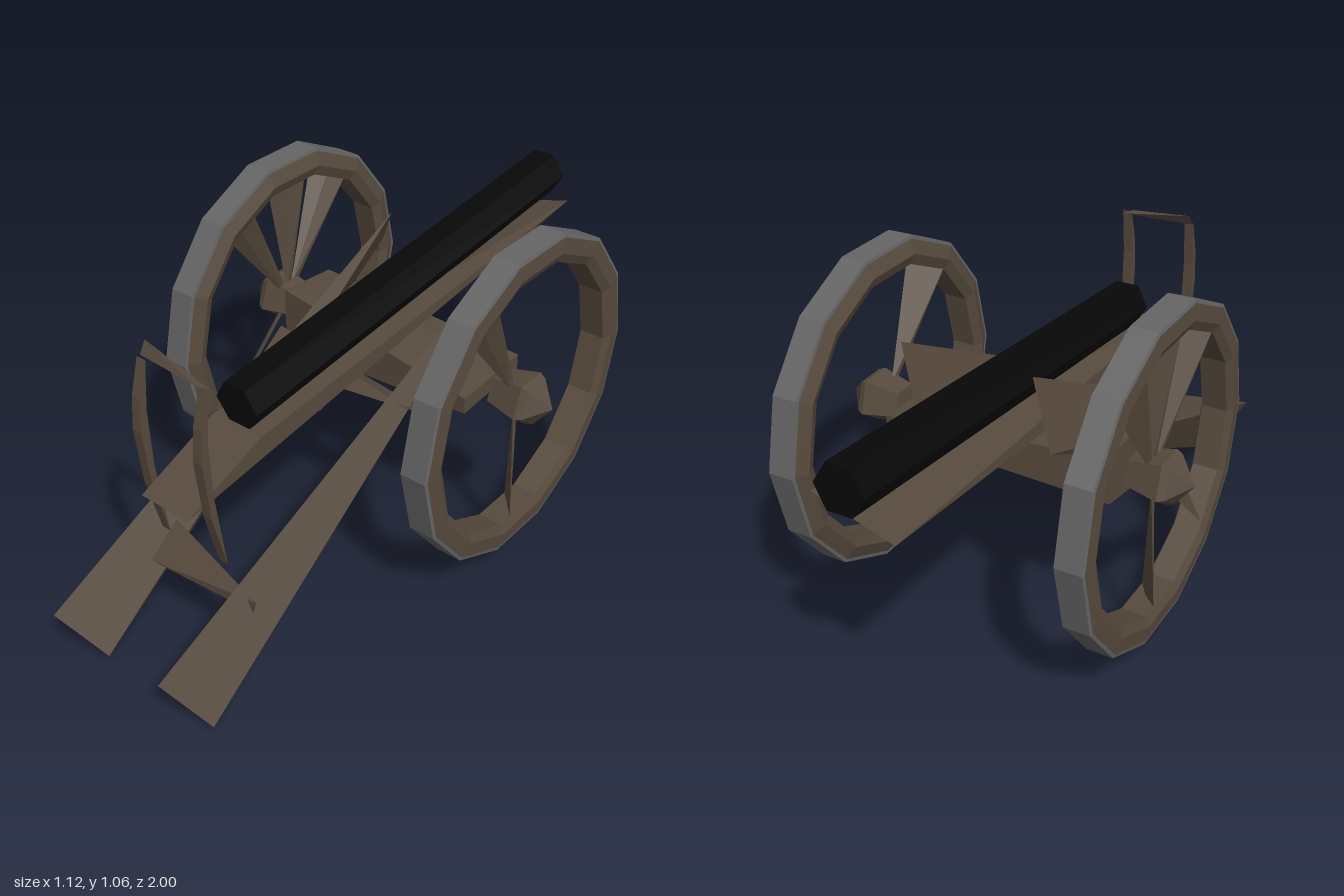
import * as THREE from 'three';
import { ConvexGeometry } from 'three/addons/geometries/ConvexGeometry.js';

const material = (name, color) => Object.assign(
  new THREE.MeshStandardMaterial({ color, flatShading: true, side: THREE.DoubleSide }), { name });

export function createModel() {
  const wood = material('wood', 0x574a3d);
  const iron = material('tyre iron', 0x656566);
  const black = material('barrel black', 0x080808);
  const model = new THREE.Group();
  model.name = 'fieldGun';

  const add = (name, geometry, mat, parent = model) => {
    const mesh = new THREE.Mesh(geometry, mat);
    mesh.name = name;
    parent.add(mesh);
    return mesh;
  };
  // Faceted solid through a few corners
  const hull = (name, corners, parent = model) =>
    add(name, new ConvexGeometry(corners.map((c) => new THREE.Vector3(...c))), wood, parent);

  // Barrel: hexagonal tube rising towards the muzzle
  const barrel = new THREE.CylinderGeometry(0.074, 0.074, 1.5, 6);
  barrel.rotateY(Math.PI / 6).rotateX(-Math.PI / 2 + 0.094).translate(-0.01, 0.779, -0.247);
  add('barrel', barrel, black);

  // Stock: long wedge under the barrel, ending in a slanted edge
  hull('stock', [
    [-0.1, 0.535, 0.78], [0.07, 0.535, 0.78], [-0.1, 0.645, 0.5], [0.075, 0.645, 0.5],
    [-0.135, 0.715, -0.96], [0.11, 0.787, -0.955],
  ]);

  // Trails: twisted four-cornered beams
  for (const [name, x] of [['rightTrail', -0.265], ['leftTrail', 0.145]]) {
    hull(name, [[x, 0.165, 1], [x + 0.1, 0, 0.91], [x + 0.1, 0.89, -0.37], [x, 0.73, -0.455]]);
  }

  // Cross members
  hull('rearCrossbar', [[-0.19, 0.28, 0.59], [-0.19, 0.2, 0.7], [0.22, 0.28, 0.7], [0.15, 0.2, 0.66], [0.21, 0.24, 0.7]]);
  hull('middleCrossbar', [[-0.302, 0.605, 0], [-0.302, 0.53, 0.11], [0.26, 0.605, 0.11], [0.26, 0.53, 0]]);
  hull('axleBed', [
    [-0.355, 0.675, -0.08], [-0.355, 0.655, -0.29], [-0.355, 0.475, -0.08], [-0.355, 0.51, -0.29],
    [0.35, 0.59, -0.05], [0.35, 0.605, -0.32], [0.35, 0.54, -0.05], [0.35, 0.555, -0.32],
  ]);

  // Sight frame: two curved posts and a top bar
  const profile = new THREE.Shape([
    [0.69, 0.35], [0.735, 0.53], [0.755, 0.72], [0.745, 0.82], [0.715, 0.925], [0.728, 0.78], [0.722, 0.6],
  ].map(([z, y]) => new THREE.Vector2(z, y)));
  for (const [name, x] of [['rightSightPost', -0.105], ['leftSightPost', 0.113]]) {
    const post = new THREE.ExtrudeGeometry(profile, { depth: 0.031, bevelEnabled: false });
    add(name, post.rotateY(-Math.PI / 2).translate(x, 0, 0), wood);
  }
  hull('sightTopBar', [[-0.135, 0.96, 0.685], [-0.135, 0.925, 0.705], [0.08, 0.928, 0.72], [0.11, 0.918, 0.7]]);

  // Ring turned about the wheel axis; profile points are [radius, x]
  const ring = (points, sides, turn) => new THREE.LatheGeometry(
    points.map(([r, x]) => new THREE.Vector2(r, x)), sides).rotateY(turn).rotateZ(-Math.PI / 2);

  // Wheels: spoke angles are measured from the rear towards the top
  const wheels = [
    ['leftWheel', 1, [58, 270]],
    ['rightWheel', -1, [58, 90, 118, 318, 270]],
  ];
  for (const [name, side, spokes] of wheels) {
    const wheel = new THREE.Group();
    wheel.name = name;
    wheel.position.set(0, 0.572, -0.185);
    model.add(wheel);
    const profileOf = (points) => points.map(([r, x]) => [r, x * side]);

    add('rim', ring(profileOf([[0.418, 0.397], [0.45, 0.384], [0.492, 0.402], [0.492, 0.483],
      [0.445, 0.488], [0.418, 0.475], [0.418, 0.397]]), 14, 0), wood, wheel);
    add('tyre', ring(profileOf([[0.492, 0.4], [0.502, 0.402], [0.502, 0.481], [0.492, 0.484]]), 14, 0), iron, wheel);
    add('hub', ring(profileOf([[0, 0.37], [0.06, 0.375], [0.085, 0.48], [0.075, 0.5], [0, 0.558]]), 5, 0.3), wood, wheel);

    // Thin blade spokes, set diagonally and widening towards the rim
    for (const degrees of spokes) {
      const x = side * 0.435;
      const spoke = hull('spoke', [[x, -0.01, 0.04], [x, 0.01, 0.04],
        [x - 0.04, -0.045, 0.425], [x + 0.04, 0.045, 0.425], [x + 0.005, -0.005, 0.425]], wheel);
      spoke.rotation.x = -THREE.MathUtils.degToRad(degrees);
    }
  }
  return model;
}
